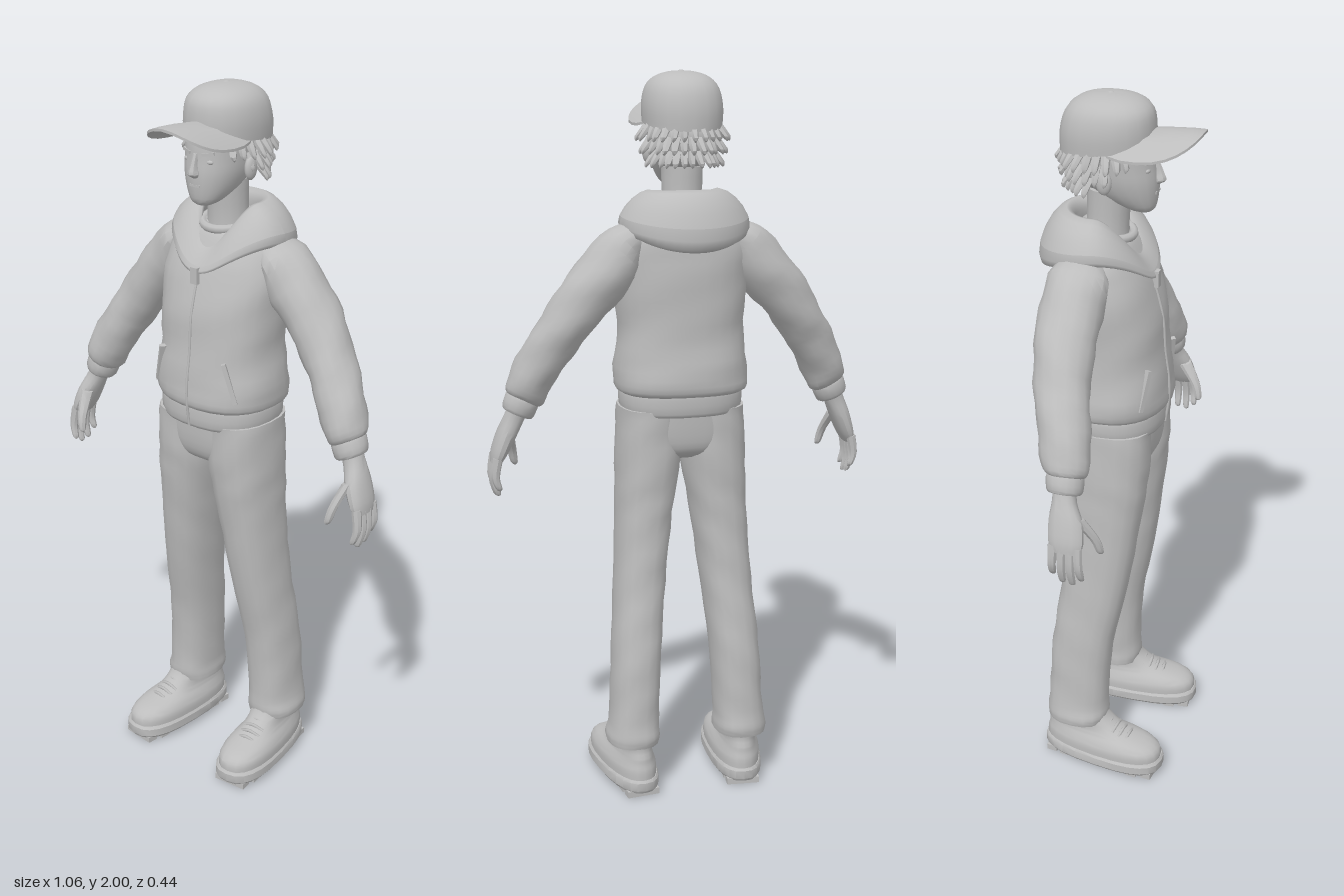
import * as THREE from 'three';
import { toCreasedNormals } from 'three/addons/utils/BufferGeometryUtils.js';

const grey = new THREE.MeshStandardMaterial({ color: 0xbdbdbd });
grey.name = 'plain grey';

function add(parent, name, geometry) {
  const mesh = new THREE.Mesh(geometry, grey);
  mesh.name = name;
  parent.add(mesh);
  return mesh;
}

const spline = (a, b, c, d, t) =>
  b + 0.5 * t * (c - a + t * (2 * a - 5 * b + 4 * c - d + t * (3 * (b - c) + d - a)));

// Skins rings [x, y, z, radiusX, radiusZ, tilt], listed from bottom to top.
function loft(rings, { sides = 16, steps = 3, power = 2, wrinkle = 0, warp } = {}) {
  const rows = [];
  const at = (i) => rings[Math.min(Math.max(i, 0), rings.length - 1)];
  for (let i = 0; i < rings.length - 1; i++) {
    for (let s = 0; s < steps; s++) {
      rows.push([0, 1, 2, 3, 4, 5].map((k) =>
        spline(at(i - 1)[k] || 0, at(i)[k] || 0, at(i + 1)[k] || 0, at(i + 2)[k] || 0, s / steps)));
    }
  }
  rows.push(at(rings.length - 1));
  const points = [], index = [];
  const bend = (c) => Math.sign(c) * Math.pow(Math.abs(c), 2 / power);
  const put = (x, y, z) => {
    const v = new THREE.Vector3(x, y, z);
    if (warp) warp(v);
    points.push(v.x, v.y, v.z);
  };
  rows.forEach(([x, y, z, rx, rz, tilt = 0]) => {
    for (let j = 0; j < sides; j++) {
      const a = (j / sides) * Math.PI * 2;
      const fold = 1 + wrinkle * (Math.sin(3 * a + y * 47) + Math.sin(2 * a - y * 83 + 1));
      const u = bend(Math.cos(a)) * Math.max(rx, 0) * fold;
      put(x + u * Math.cos(tilt), y + u * Math.sin(tilt), z + bend(Math.sin(a)) * Math.max(rz, 0) * fold);
    }
  });
  const last = (rows.length - 1) * sides, low = rows.length * sides;
  put(...rows[0].slice(0, 3));
  put(...rows[rows.length - 1].slice(0, 3));
  for (let j = 0; j < sides; j++) {
    const k = (j + 1) % sides;
    for (let i = 0; i < last; i += sides) {
      index.push(i + j, i + sides + j, i + k, i + k, i + sides + j, i + sides + k);
    }
    index.push(low, j, k, low + 1, last + k, last + j);
  }
  const g = new THREE.BufferGeometry();
  g.setAttribute('position', new THREE.Float32BufferAttribute(points, 3));
  g.setIndex(index);
  return toCreasedNormals(g, 0.6);
}

function box(parent, name, size, position, rotation = [0, 0, 0]) {
  const mesh = add(parent, name, new THREE.BoxGeometry(...size));
  mesh.position.set(...position);
  mesh.rotation.set(...rotation);
}

function ball(parent, name, scale, position) {
  const mesh = add(parent, name, new THREE.SphereGeometry(1, 14, 10));
  mesh.scale.set(...scale);
  mesh.position.set(...position);
}

function tube(parent, name, points, radius, segments = 12) {
  const curve = new THREE.CatmullRomCurve3(points.map((p) => new THREE.Vector3(...p)));
  add(parent, name, new THREE.TubeGeometry(curve, segments, radius, 6));
}

function makeHead() {
  const head = new THREE.Group();
  head.name = 'head';
  add(head, 'neck', loft([[0, 1.57, -0.04, 0.066, 0.066], [0, 1.65, -0.035, 0.055, 0.056],
    [0, 1.75, -0.03, 0.056, 0.06]]));
  add(head, 'face', loft([[0, 1.697, 0.062, 0.022, 0.022], [0, 1.708, 0.052, 0.04, 0.042],
    [0, 1.74, 0.023, 0.062, 0.077], [0, 1.78, 0.002, 0.077, 0.1], [0, 1.82, -0.01, 0.083, 0.108],
    [0, 1.87, -0.02, 0.087, 0.113], [0, 1.92, -0.03, 0.08, 0.1]], { power: 2.2, sides: 20 }));
  add(head, 'nose', loft([[0, 1.772, 0.098, 0.008, 0.008], [0, 1.783, 0.104, 0.015, 0.018],
    [0, 1.8, 0.1, 0.01, 0.017], [0, 1.835, 0.094, 0.007, 0.008]], { sides: 8 }));
  box(head, 'mouth', [0.034, 0.006, 0.008], [0, 1.751, 0.097]);
  for (const s of [-1, 1]) {
    box(head, 'eyebrow', [0.034, 0.008, 0.01], [s * 0.034, 1.836, 0.086], [0, s * 0.35, s * 0.12]);
    ball(head, 'eye', [0.014, 0.007, 0.008], [s * 0.034, 1.815, 0.083]);
    ball(head, 'ear', [0.013, 0.032, 0.021], [s * 0.091, 1.79, -0.015]);
  }

  // Curly hair under the cap, with a ring of curved locks
  ball(head, 'hair', [0.087, 0.078, 0.078], [0, 1.822, -0.06]);
  for (let row = 0; row < 3; row++) {
    const count = 21 - row * 4, reach = 2.35 - row * 0.5;
    for (let i = 0; i < count; i++) {
      const a = (i / (count - 1) * 2 - 1) * reach;
      const r = 0.09 - row * 0.008, y = 1.852 - row * 0.034;
      const x = Math.sin(a), z = -Math.cos(a), out = 0.018 + 0.012 * Math.abs(Math.sin(i * 2.3 + row));
      const px = x * r, pz = -0.04 + z * (r + 0.005);
      add(head, 'hair lock', loft([
        [px + x * (out + 0.006), y - 0.035, pz + z * out, 0.001, 0.001],
        [px + x * out, y - 0.022, pz + z * out, 0.009, 0.009],
        [px, y + 0.012, pz, 0.013, 0.013]], { sides: 6, steps: 2 }));
    }
  }
  for (let i = -3; i <= 3; i++) {
    add(head, 'fringe lock', loft([[i * 0.025, 1.838 + 0.005 * (i & 1), 0.082 - i * i * 0.004, 0.001, 0.001],
      [i * 0.023, 1.858, 0.082 - i * i * 0.004, 0.013, 0.01],
      [i * 0.022, 1.89, 0.075 - i * i * 0.004, 0.013, 0.01]], { sides: 6, steps: 2 }));
  }

  // Cap, lower at the back
  const cap = new THREE.Group();
  cap.name = 'cap';
  head.add(cap);
  add(cap, 'cap crown', loft([[0, 1.862, -0.033, 0.104, 0.124], [0, 1.91, -0.033, 0.106, 0.124],
    [0, 1.955, -0.03, 0.096, 0.113], [0, 1.982, -0.028, 0.072, 0.085], [0, 1.995, -0.026, 0.036, 0.045],
    [0, 1.998, -0.026, 0.004, 0.004]],
  { power: 2.2, sides: 20, warp: (v) => { v.y += (v.z + 0.026) * 0.14 * (2 - v.y) / 0.14; } }));
  ball(cap, 'cap button', [0.01, 0.005, 0.01], [0, 1.995, -0.026]);
  const brim = [[0.02, 0], [0.5, 0], [0.8, 0], [1, 0.002], [1, 0.009], [0.8, 0.011], [0.5, 0.011], [0.02, 0.011]];
  add(cap, 'cap brim', loft(brim.map(([k, y]) => [0, y, 0.075, 0.111 * k, 0.147 * k]),
    { power: 2.4, sides: 28, steps: 1, warp: (v) => { v.y += 1.905 - 4.2 * v.x * v.x + (v.z - 0.1) * 0.06; } }));
  return head;
}

function makeJacket() {
  const jacket = new THREE.Group();
  jacket.name = 'jacket';
  add(jacket, 'jacket body', loft([[0, 1.14, -0.014, 0.166, 0.142], [0, 1.155, -0.014, 0.184, 0.152],
    [0, 1.21, -0.014, 0.183, 0.152], [0, 1.3, -0.015, 0.172, 0.141], [0, 1.4, -0.02, 0.177, 0.138],
    [0, 1.5, -0.033, 0.182, 0.125], [0, 1.57, -0.045, 0.168, 0.106], [0, 1.615, -0.05, 0.12, 0.085],
    [0, 1.64, -0.05, 0.06, 0.05]], { sides: 26, power: 2.4, wrinkle: 0.008 }));
  add(jacket, 'waistband', loft([[0, 1.085, -0.012, 0.162, 0.136], [0, 1.095, -0.012, 0.168, 0.142],
    [0, 1.135, -0.013, 0.17, 0.144], [0, 1.15, -0.013, 0.166, 0.142]], { sides: 26, power: 2.4, steps: 2 }));
  tube(jacket, 'zip', [[0, 1.09, 0.129], [0, 1.16, 0.138], [0, 1.22, 0.137], [0, 1.3, 0.126],
    [0, 1.4, 0.118], [0, 1.5, 0.092], [0, 1.54, 0.078]], 0.004, 24);
  box(jacket, 'zip pull', [0.022, 0.045, 0.012], [0, 1.51, 0.102]);
  const shirt = add(jacket, 'shirt collar', new THREE.TorusGeometry(0.066, 0.012, 8, 24));
  shirt.rotation.x = Math.PI / 2 + 0.2;
  shirt.position.set(0, 1.635, -0.032);

  // Folded hood: a ring that is tall at the back and narrows to a V in front
  const hood = new THREE.TorusGeometry(1, 0.5, 14, 48);
  const p = hood.attributes.position;
  for (let i = 0; i < p.count; i++) {
    const a = Math.atan2(p.getX(i), p.getY(i));
    const across = (Math.hypot(p.getX(i), p.getY(i)) - 1) * 2, up = p.getZ(i) * 2;
    const back = (1 + Math.cos(a)) / 2, front = THREE.MathUtils.smoothstep(Math.abs(a), 1.7, Math.PI);
    const wide = THREE.MathUtils.lerp(0.046, 0.02, front);
    const tall = 0.042 + 0.036 * back * back - 0.012 * front;
    const r = 1 + (across * wide - up * 0.02) / 0.125;
    const z = Math.cos(a) > 0 ? 0.115 : 0.128;
    p.setXYZ(i, Math.sin(a) * 0.127 * r * (1 - 0.35 * front * Math.abs(Math.sin(a))),
      1.645 - 0.03 * back * back - 0.095 * front + up * tall - across * 0.016,
      -0.055 - Math.cos(a) * z * r);
  }
  hood.computeVertexNormals();
  add(jacket, 'hood', hood);
  return jacket;
}

function makeArm() {
  const arm = new THREE.Group();
  arm.name = 'arm';
  add(arm, 'sleeve', loft([[0.438, 1.13, 0, 0.045, 0.045, 0.45], [0.434, 1.145, -0.002, 0.056, 0.06, 0.45],
    [0.413, 1.195, -0.01, 0.061, 0.068, 0.48], [0.375, 1.265, -0.028, 0.063, 0.072, 0.52],
    [0.335, 1.325, -0.045, 0.066, 0.075, 0.6], [0.28, 1.405, -0.058, 0.072, 0.08, 0.6],
    [0.215, 1.478, -0.062, 0.077, 0.084, 0.65], [0.165, 1.55, -0.06, 0.06, 0.08, 0.8],
    [0.11, 1.585, -0.058, 0.03, 0.05, 0.9]], { sides: 16, wrinkle: 0.025 }));
  add(arm, 'cuff', loft([[0.455, 1.092, 0.002, 0.04, 0.042, 0.42], [0.452, 1.1, 0.002, 0.046, 0.048, 0.42],
    [0.441, 1.128, 0, 0.048, 0.05, 0.42], [0.437, 1.14, 0, 0.045, 0.046, 0.42]], { steps: 2 }));
  add(arm, 'palm', loft([[0.515, 0.952, 0.024, 0.013, 0.038, 0.3], [0.505, 0.98, 0.022, 0.021, 0.047, 0.36],
    [0.485, 1.03, 0.016, 0.026, 0.045, 0.4], [0.465, 1.075, 0.006, 0.027, 0.032, 0.4],
    [0.45, 1.11, 0.002, 0.028, 0.031, 0.4]], { sides: 14, power: 2.3 }));
  [[0.056, 0.012], [0.035, -0.004], [0.012, 0], [-0.011, 0.02]].forEach(([z, lift]) => {
    add(arm, 'finger', loft([[0.508, 0.86 + lift, z * 1.15 + 0.002, 0.003, 0.003], [0.511, 0.868 + lift, z * 1.15, 0.009, 0.009, 0],
      [0.52, 0.91 + lift / 2, z * 1.08, 0.012, 0.0115, 0.1], [0.512, 0.97, z, 0.014, 0.013, 0.3]], { sides: 8 }));
  });
  add(arm, 'thumb', loft([[0.448, 0.925, 0.096, 0.004, 0.004], [0.451, 0.935, 0.095, 0.011, 0.011, 0.2],
    [0.459, 0.975, 0.083, 0.014, 0.014, 0.2], [0.475, 1.035, 0.042, 0.018, 0.022, 0.3]], { sides: 8 }));
  add(arm, 'pocket welt', new THREE.BoxGeometry(0.012, 0.115, 0.02)).position.set(0.121, 1.235, 0.104);
  arm.children[arm.children.length - 1].rotation.set(-0.05, 0.6, 0.32);
  return arm;
}

function makeLeg() {
  const leg = new THREE.Group();
  leg.name = 'leg';
  add(leg, 'trouser leg', loft([[0.158, 0.142, -0.08, 0.072, 0.088], [0.158, 0.165, -0.08, 0.074, 0.092],
    [0.154, 0.22, -0.078, 0.068, 0.088], [0.144, 0.4, -0.068, 0.068, 0.089], [0.126, 0.6, -0.036, 0.07, 0.096],
    [0.108, 0.8, -0.017, 0.077, 0.106], [0.093, 0.96, -0.01, 0.088, 0.119], [0.088, 1.1, -0.01, 0.086, 0.122]],
  { sides: 18, power: 2.4, wrinkle: 0.012, steps: 4 }));

  // Shoe, toe turned slightly out
  const shoe = new THREE.Group();
  shoe.name = 'shoe';
  shoe.position.x = 0.164;
  shoe.rotation.y = 0.1;
  leg.add(shoe);
  const warp = (v) => { v.x *= 1 + v.z * 0.6; };
  add(shoe, 'sole', loft([[0, 0.014, 0.002, 0.07, 0.182], [0, 0.022, 0.002, 0.076, 0.187],
    [0, 0.045, 0.002, 0.076, 0.187], [0, 0.052, 0.002, 0.071, 0.182]], { sides: 24, power: 2.6, steps: 1, warp }));
  add(shoe, 'shoe upper', loft([[0, 0.045, 0.001, 0.071, 0.181], [0, 0.075, 0, 0.071, 0.179],
    [0, 0.096, -0.012, 0.063, 0.162], [0, 0.113, -0.042, 0.054, 0.13], [0, 0.132, -0.06, 0.051, 0.106],
    [0, 0.16, -0.076, 0.054, 0.09], [0, 0.19, -0.08, 0.05, 0.08]], { sides: 24, power: 2.4, warp }));
  for (let i = 0; i < 8; i++) {
    if (i === 3) continue;
    const z = -0.152 + i * 0.044;
    box(shoe, 'tread', [0.105 + z * 0.08 - (i === 7 ? 0.02 : 0), 0.018, 0.032], [0, 0.009, z]);
  }
  for (let i = 0; i < 4; i++) {
    const z = 0.086 - i * 0.02, y = 0.11 + i * 0.009;
    tube(shoe, 'lace', [[-0.032, y - 0.006, z - 0.004], [0, y + 0.006, z], [0.032, y - 0.006, z - 0.004]], 0.005, 6);
  }
  return leg;
}

export function createModel() {
  const model = new THREE.Group();
  model.name = 'young man in cap and hooded jacket';
  model.add(makeHead(), makeJacket());
  add(model, 'trouser seat', loft([[0, 0.955, -0.012, 0.06, 0.06], [0, 0.98, -0.012, 0.14, 0.105],
    [0, 1.03, -0.01, 0.172, 0.12], [0, 1.11, -0.01, 0.165, 0.124]], { sides: 22, power: 2.6 }));
  for (const s of [1, -1]) {
    const side = new THREE.Group();
    side.name = s > 0 ? 'left limbs' : 'right limbs';
    side.add(makeArm(), makeLeg());
    side.scale.x = s;
    model.add(side);
  }
  return model;
}
